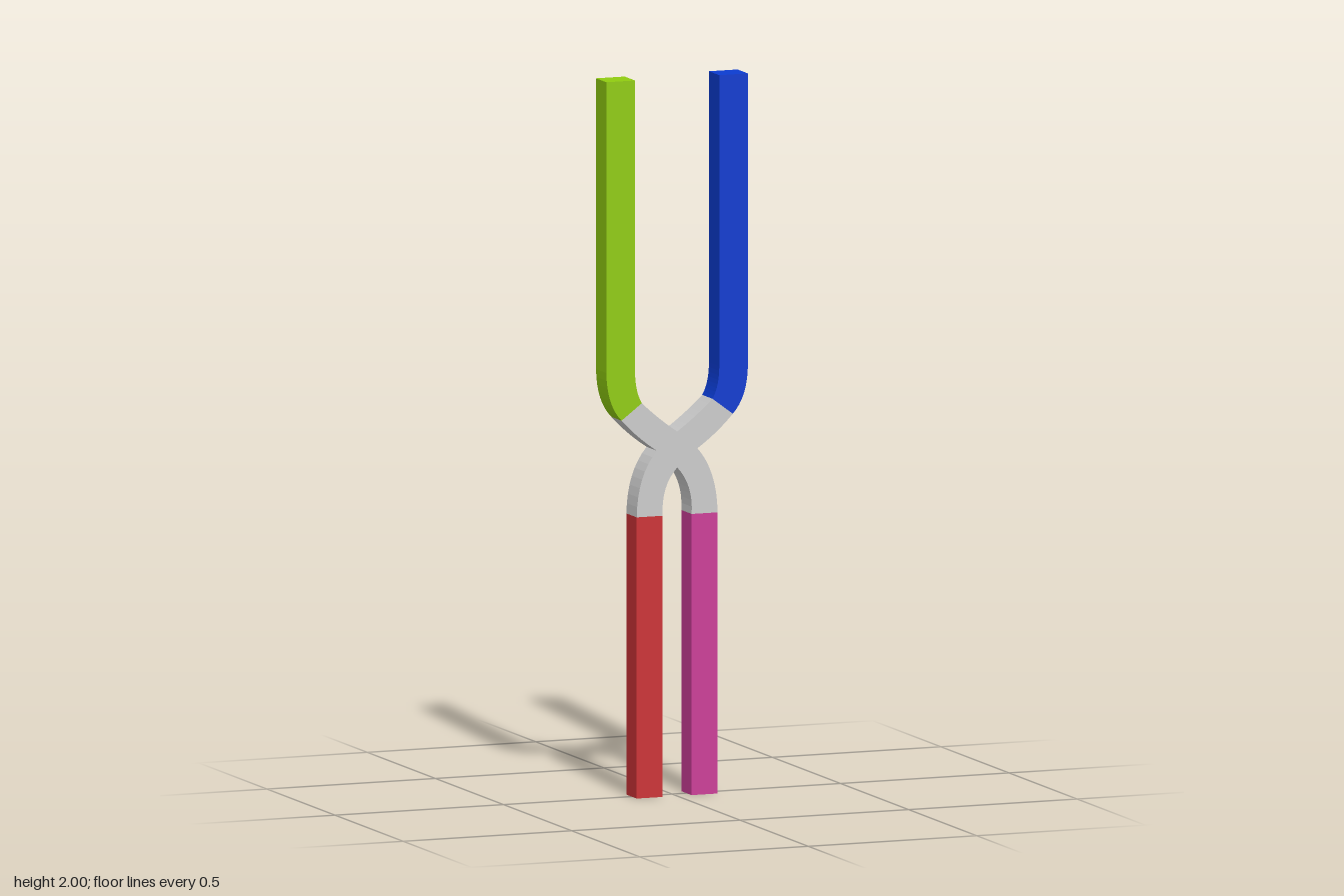
import * as THREE from 'three';

const DEPTH = 0.076;

// Extrudes an outline of [x, y] line points and [cx, cy, x, y] curve points, centred on z = 0
function slab(name, outline, color, side = 1) {
  const shape = new THREE.Shape();
  outline.forEach((p, i) => {
    if (i === 0) shape.moveTo(side * p[0], p[1]);
    else if (p.length === 2) shape.lineTo(side * p[0], p[1]);
    else shape.quadraticCurveTo(side * p[0], p[1], side * p[2], p[3]);
  });
  const geometry = new THREE.ExtrudeGeometry(shape, { depth: DEPTH, bevelEnabled: false, curveSegments: 8 });
  geometry.translate(0, 0, -DEPTH / 2);
  const mesh = new THREE.Mesh(geometry, new THREE.MeshStandardMaterial({ color }));
  mesh.name = name;
  return mesh;
}

export function createModel() {
  const model = new THREE.Group();
  model.name = 'crossedFork';

  // Long upper prong, bending inwards at its foot
  const prong = [
    [0.125, 2], [0.125, 1.19], [0.125, 1.135, 0.105, 1.1],
    [0.165, 1.055], [0.209, 1.1, 0.21, 1.19], [0.21, 2],
  ];
  // Straight lower leg
  const leg = [[0.043, 0], [0.12, 0], [0.12, 0.783], [0.043, 0.783]];

  model.add(slab('leftProng', prong, 0x0b3bd0, 1));
  model.add(slab('rightProng', prong, 0x90cc10, -1));
  model.add(slab('leftLeg', leg, 0xcb3d98, 1));
  model.add(slab('rightLeg', leg, 0xcc3236, -1));

  // X-shaped junction: straight arms above, arched arms below
  model.add(slab('junction', [
    [0, 1.015], [0.055, 0.983 + 0.07, 0.105, 1.1], [0.165, 1.055],
    [0.12, 1.005, 0.06, 0.965], [0.118, 0.9, 0.12, 0.783], [0.043, 0.783],
    [0.048, 0.865, 0, 0.915],
    [-0.048, 0.865, -0.043, 0.783], [-0.12, 0.783], [-0.118, 0.9, -0.06, 0.965],
    [-0.12, 1.005, -0.165, 1.055], [-0.105, 1.1], [-0.055, 1.053, 0, 1.015],
  ], 0xcccccc));

  return model;
}
